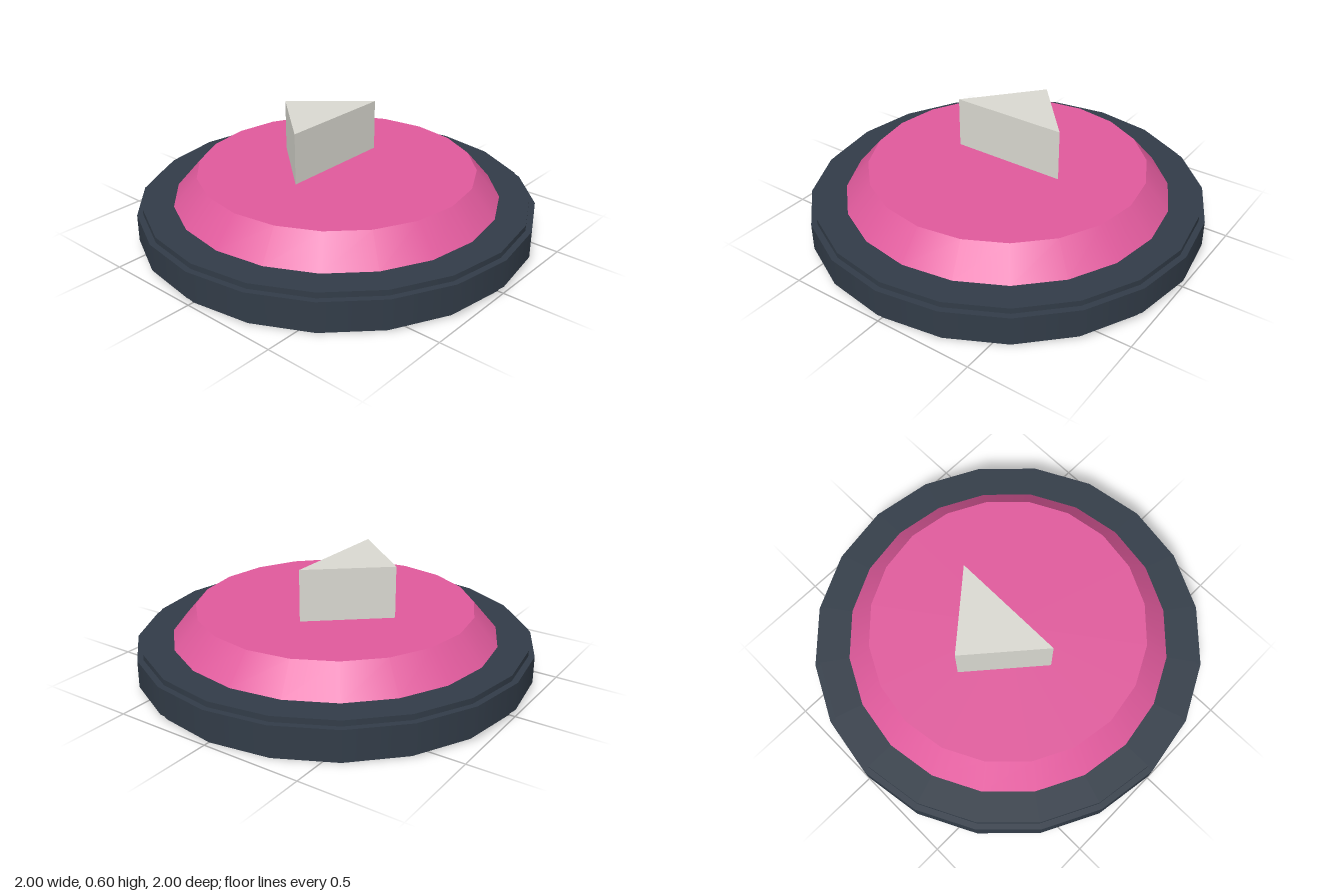
import * as THREE from 'three';

const SIDES = 20;

// Upright round part between two heights
function disc(name, rTop, rBottom, y0, y1, material) {
  const geometry = new THREE.CylinderGeometry(rTop, rBottom, y1 - y0, SIDES);
  geometry.translate(0, (y0 + y1) / 2, 0);
  const mesh = new THREE.Mesh(geometry, material);
  mesh.name = name;
  return mesh;
}

export function createModel() {
  const slate = new THREE.MeshStandardMaterial({ name: 'dark slate', color: 0x323c48 });
  const pink = new THREE.MeshStandardMaterial({ name: 'pink', color: 0xe05a9c });
  const stone = new THREE.MeshStandardMaterial({ name: 'pale grey', color: 0xdad9d1 });

  const model = new THREE.Group();
  model.name = 'arrowPad';

  // Base with a slightly wider band around its middle
  model.add(disc('base', 0.97, 0.97, 0, 0.2, slate));
  model.add(disc('baseBand', 1, 1, 0.035, 0.172, slate));

  // Sloping raised plate
  model.add(disc('raisedPlate', 0.7, 0.82, 0.2, 0.34, pink));

  // Triangular pointer, aimed at the back
  const triangle = new THREE.Shape([
    new THREE.Vector2(-0.3, 0),
    new THREE.Vector2(0.3, 0),
    new THREE.Vector2(0, 0.35),
  ]);
  const prism = new THREE.ExtrudeGeometry(triangle, { depth: 0.26, bevelEnabled: false });
  prism.rotateX(-Math.PI / 2);
  const pointer = new THREE.Mesh(prism, stone);
  pointer.name = 'pointer';
  pointer.position.y = 0.34;
  model.add(pointer);

  return model;
}
